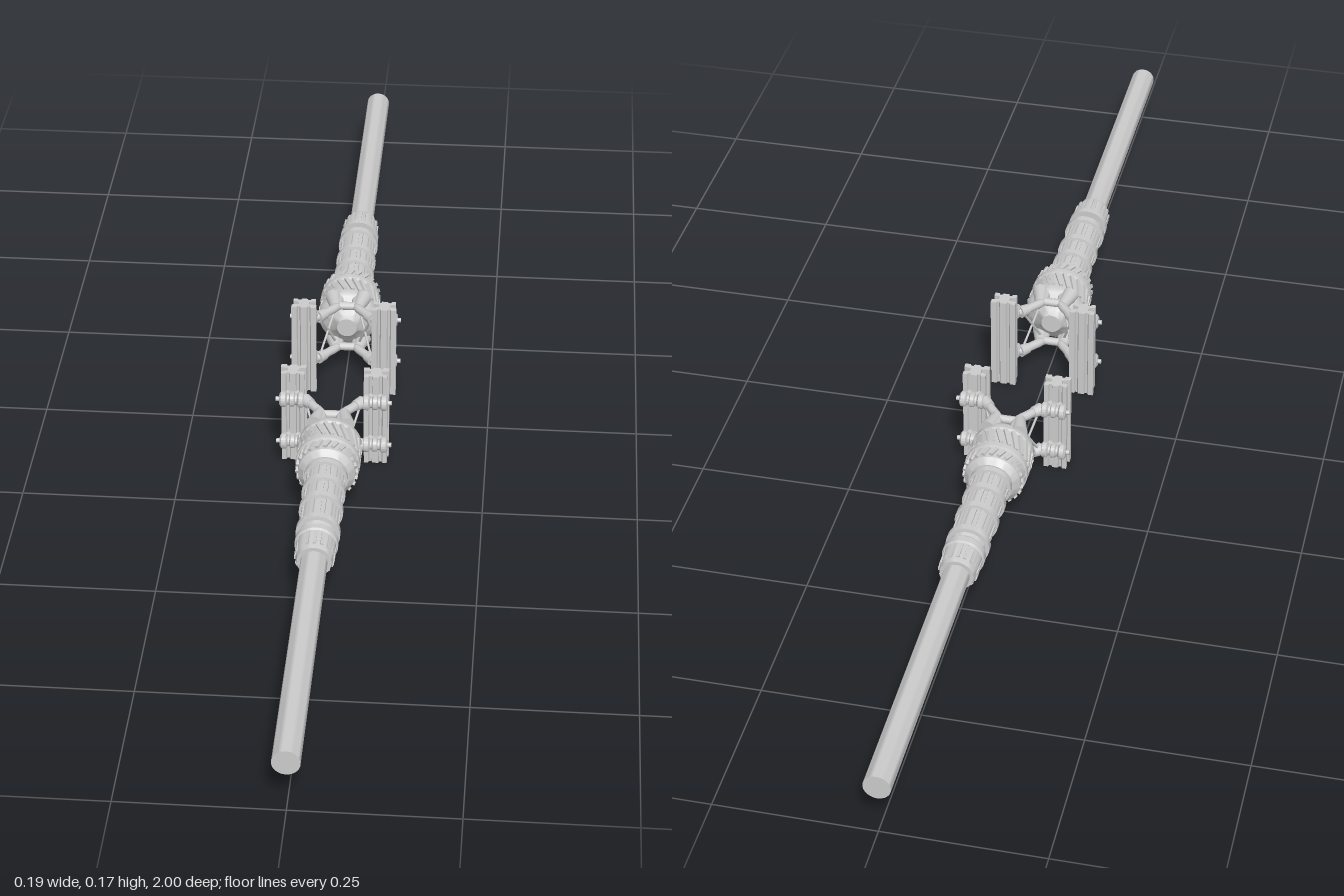
import * as THREE from 'three';
import { toCreasedNormals } from 'three/addons/utils/BufferGeometryUtils.js';

const material = new THREE.MeshStandardMaterial({ color: 0xcccccc });
const AXIS_Y = 0.0865;

function add(parent, name, geometry) {
  const mesh = new THREE.Mesh(geometry, material);
  mesh.name = name;
  parent.add(mesh);
  return mesh;
}

// Turned part along z from [z, radius] pairs
function turned(parent, name, profile, sides = 32) {
  const pts = profile.map(([z, r]) => new THREE.Vector2(r, z));
  const g = new THREE.LatheGeometry(pts, sides).rotateX(Math.PI / 2);
  return add(parent, name, toCreasedNormals(g, 0.6));
}

// Straight round bar between two points
function bar(parent, name, a, b, r0, r1 = r0, sides = 12) {
  const from = new THREE.Vector3(...a), to = new THREE.Vector3(...b);
  const dir = to.clone().sub(from);
  const mesh = add(parent, name, new THREE.CylinderGeometry(r1, r0, dir.length(), sides));
  mesh.position.copy(from).add(to).multiplyScalar(0.5);
  mesh.quaternion.setFromUnitVectors(new THREE.Vector3(0, 1, 0), dir.normalize());
  return mesh;
}

// Ring of raised ribs around the z axis
function ribs(parent, name, z, length, radius, count, width, height, twist = 0) {
  const ring = new THREE.Group();
  ring.name = name;
  for (let i = 0; i < count; i++) {
    const g = new THREE.BoxGeometry(width, height, length);
    g.rotateY(twist).translate(0, radius, z).rotateZ((i / count) * Math.PI * 2);
    add(ring, 'rib', g);
  }
  parent.add(ring);
}

// Vertical grooved rail, cross-section given as [x, z] on one half
function rail(parent, x) {
  const half = [[0, 0.09], [0.005, 0.09], [0.007, 0.094], [0.010, 0.094], [0.012, 0.09],
    [0.021, 0.09], [0.021, 0.099], [0.009, 0.101], [0.009, 0.109],
    [0.019, 0.111], [0.019, 0.119], [0.012, 0.119], [0.010, 0.115], [0.006, 0.115],
    [0.005, 0.119], [0, 0.119]];
  const outline = [...half, ...half.slice(1, -1).reverse().map(([px, z]) => [-px, z])];
  const shape = new THREE.Shape(outline.map(([px, z]) => new THREE.Vector2(px, -z)));
  const g = new THREE.ExtrudeGeometry(shape, { depth: 0.168, bevelEnabled: false });
  add(parent, 'rail', g.rotateX(-Math.PI / 2)).position.x = x;
}

// Spool-shaped clamp across the rail, with end bolts
function clamp(parent, x, y) {
  const group = new THREE.Group();
  group.name = 'clamp';
  const profile = [[-0.021, 0], [-0.021, 0.009], [-0.018, 0.013], [-0.011, 0.013], [-0.008, 0.009],
    [-0.005, 0.009], [-0.003, 0.012], [0.003, 0.012], [0.005, 0.009], [0.008, 0.009],
    [0.011, 0.013], [0.018, 0.013], [0.021, 0.009], [0.021, 0]];
  turned(group, 'spool', profile, 20).rotation.y = Math.PI / 2;
  bar(group, 'bolt', [-0.027, 0, 0], [0.027, 0, 0], 0.004, 0.004, 8);
  add(group, 'clampJaw', new THREE.BoxGeometry(0.03, 0.016, 0.02)).position.z = -0.012;
  group.position.set(x, y, 0.13);
  parent.add(group);
}

function createHalf() {
  const half = new THREE.Group();

  // Everything turned about the pole axis
  const shaft = new THREE.Group();
  shaft.name = 'shaft';
  shaft.position.y = AXIS_Y;
  half.add(shaft);

  turned(shaft, 'pole', [[0.46, 0], [0.46, 0.021], [1, 0.021], [1, 0]], 24);
  turned(shaft, 'poleCollar', [[0.468, 0], [0.468, 0.034], [0.479, 0.034], [0.481, 0.031],
    [0.515, 0.029], [0.523, 0.027], [0.523, 0]]);
  ribs(shaft, 'collarGrips', 0.498, 0.032, 0.029, 16, 0.005, 0.005);
  turned(shaft, 'neck', [[0.44, 0], [0.44, 0.018], [0.475, 0.018], [0.475, 0]]);

  // Stepped sleeve with four raised bands
  const sleeve = [[0.28, 0], [0.28, 0.029]];
  for (const z of [0.294, 0.338, 0.386, 0.445]) {
    sleeve.push([z - 0.007, 0.029], [z - 0.006, 0.035], [z + 0.006, 0.035], [z + 0.007, 0.029]);
  }
  sleeve.push([0.458, 0.027], [0.458, 0]);
  turned(shaft, 'sleeve', sleeve);
  for (const [z, len] of [[0.316, 0.03], [0.362, 0.034], [0.415, 0.042]]) {
    ribs(shaft, 'sleeveGrips', z, len, 0.029, 16, 0.005, 0.005);
  }

  // Drum head, wide in the middle with a tapered nose
  turned(shaft, 'drumHead', [[0.162, 0], [0.162, 0.017], [0.172, 0.022], [0.183, 0.036],
    [0.19, 0.047], [0.197, 0.051], [0.206, 0.051], [0.208, 0.048], [0.245, 0.048],
    [0.247, 0.052], [0.256, 0.052], [0.258, 0.048], [0.28, 0.046], [0.29, 0.037], [0.292, 0]], 40);
  ribs(shaft, 'slantedTreads', 0.227, 0.038, 0.0485, 24, 0.006, 0.007, 0.4);
  ribs(shaft, 'rearTreads', 0.268, 0.018, 0.0475, 24, 0.006, 0.006, -0.4);

  // Forked bracket holding the two rails
  const bracket = new THREE.Group();
  bracket.name = 'bracket';
  half.add(bracket);
  const levels = [0.044, 0.126];
  for (const side of [-1, 1]) {
    rail(bracket, side * 0.068);
    for (const y of levels) {
      clamp(bracket, side * 0.068, y);
      const path = new THREE.CatmullRomCurve3([[0.064, 0.128], [0.047, 0.131], [0.03, 0.15],
        [0.017, 0.168], [0.014, 0.2]].map(([x, z]) => new THREE.Vector3(side * x, y, z)));
      add(bracket, 'arm', new THREE.TubeGeometry(path, 20, 0.0075, 10));
      bar(bracket, 'armCollar', [side * 0.047, y, 0.13], [side * 0.036, y, 0.142], 0.011, 0.009);
      bar(bracket, 'shoulder', [side * 0.019, y, 0.164], [side * 0.026, y, 0.2], 0.009, 0.014);
    }
    // Thin crossed braces between the upper and lower arms
    bar(bracket, 'brace', [side * 0.045, levels[0], 0.134], [side * 0.018, levels[1], 0.178], 0.0022, 0.0022, 6);
    bar(bracket, 'brace', [side * 0.045, levels[1], 0.134], [side * 0.018, levels[0], 0.178], 0.0022, 0.0022, 6);
  }
  for (const y of levels) {
    bar(bracket, 'crossPin', [-0.022, y, 0.17], [0.022, y, 0.17], 0.007);
  }
  return half;
}

export function createModel() {
  const model = new THREE.Group();
  model.name = 'polePair';
  for (const [name, turn] of [['frontHalf', 0], ['backHalf', Math.PI]]) {
    const half = createHalf();
    half.name = name;
    half.rotation.y = turn;
    model.add(half);
  }
  return model;
}
